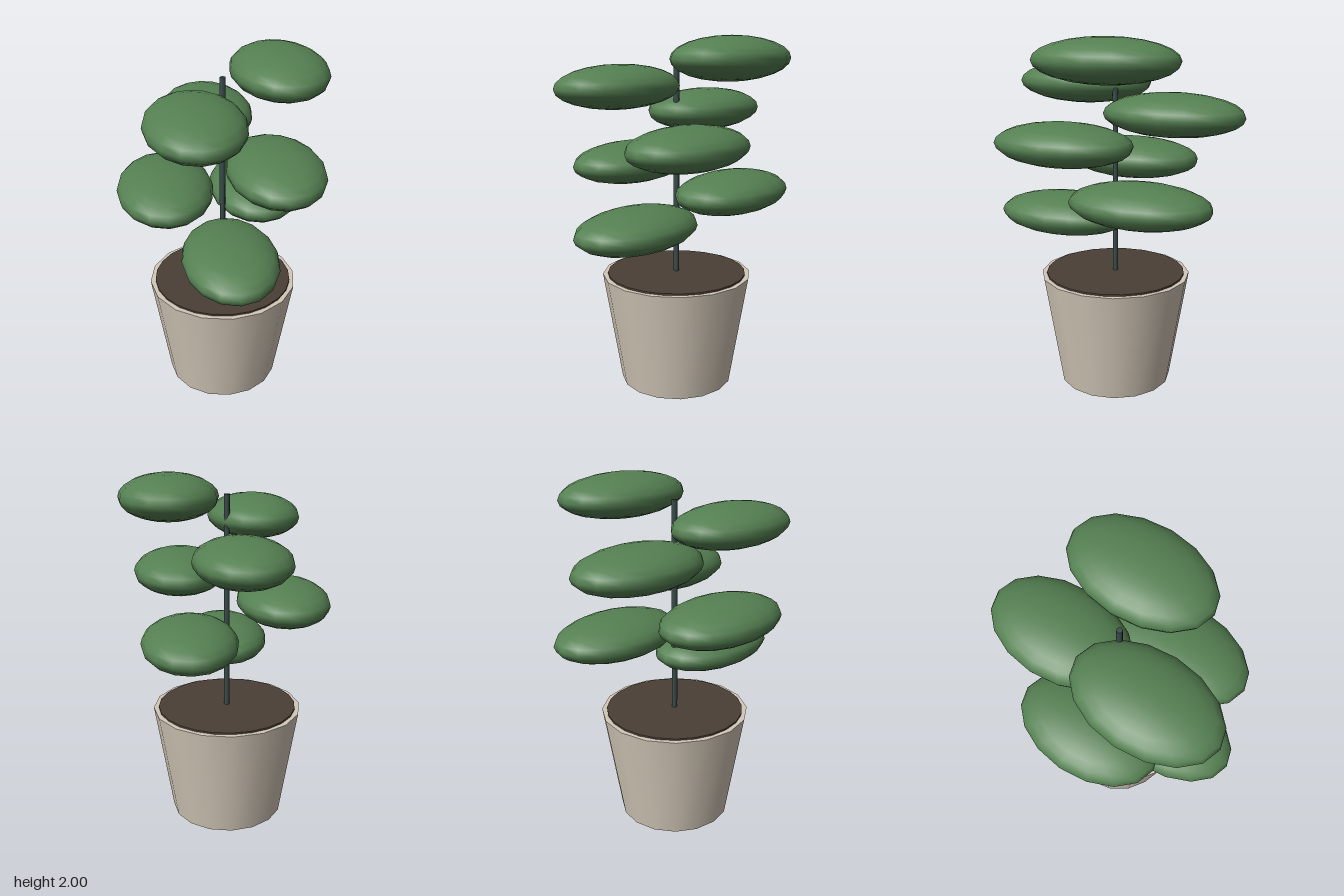
import * as THREE from 'three';

const material = (name, color) => {
  const m = new THREE.MeshStandardMaterial({ color });
  m.name = name;
  return m;
};

export function createModel() {
  const clay = material('pale clay', 0xd3c8b8);
  const earth = material('dark earth', 0x4a3f35);
  const bark = material('dark stem', 0x3a4c4a);
  const foliage = material('leaf green', 0x558052);

  const plant = new THREE.Group();
  plant.name = 'pottedPlant';

  const add = (name, geometry, mat, x, y, z) => {
    const mesh = new THREE.Mesh(geometry, mat);
    mesh.name = name;
    mesh.position.set(x, y, z);
    plant.add(mesh);
    return mesh;
  };

  // Tapered pot with a thin soil disc standing just above the rim
  add('pot', new THREE.CylinderGeometry(0.43, 0.325, 0.65, 16), clay, 0, 0.325, 0);
  add('soil', new THREE.CylinderGeometry(0.4, 0.4, 0.03, 24), earth, 0, 0.645, 0);

  // Straight stem
  add('stem', new THREE.CylinderGeometry(0.016, 0.016, 1.24, 8), bark, 0, 1.26, 0);

  // Flattened leaf pads spiralling up the stem by the golden angle
  const pad = new THREE.SphereGeometry(1, 16, 12).scale(0.264, 0.12, 0.405);
  for (let i = 0; i < 7; i++) {
    const angle = THREE.MathUtils.degToRad(137.5 * i);
    add(`leaf${i + 1}`, pad, foliage,
      0.323 * Math.sin(angle), 0.975 + 0.151 * i, 0.323 * Math.cos(angle));
  }
  return plant;
}
